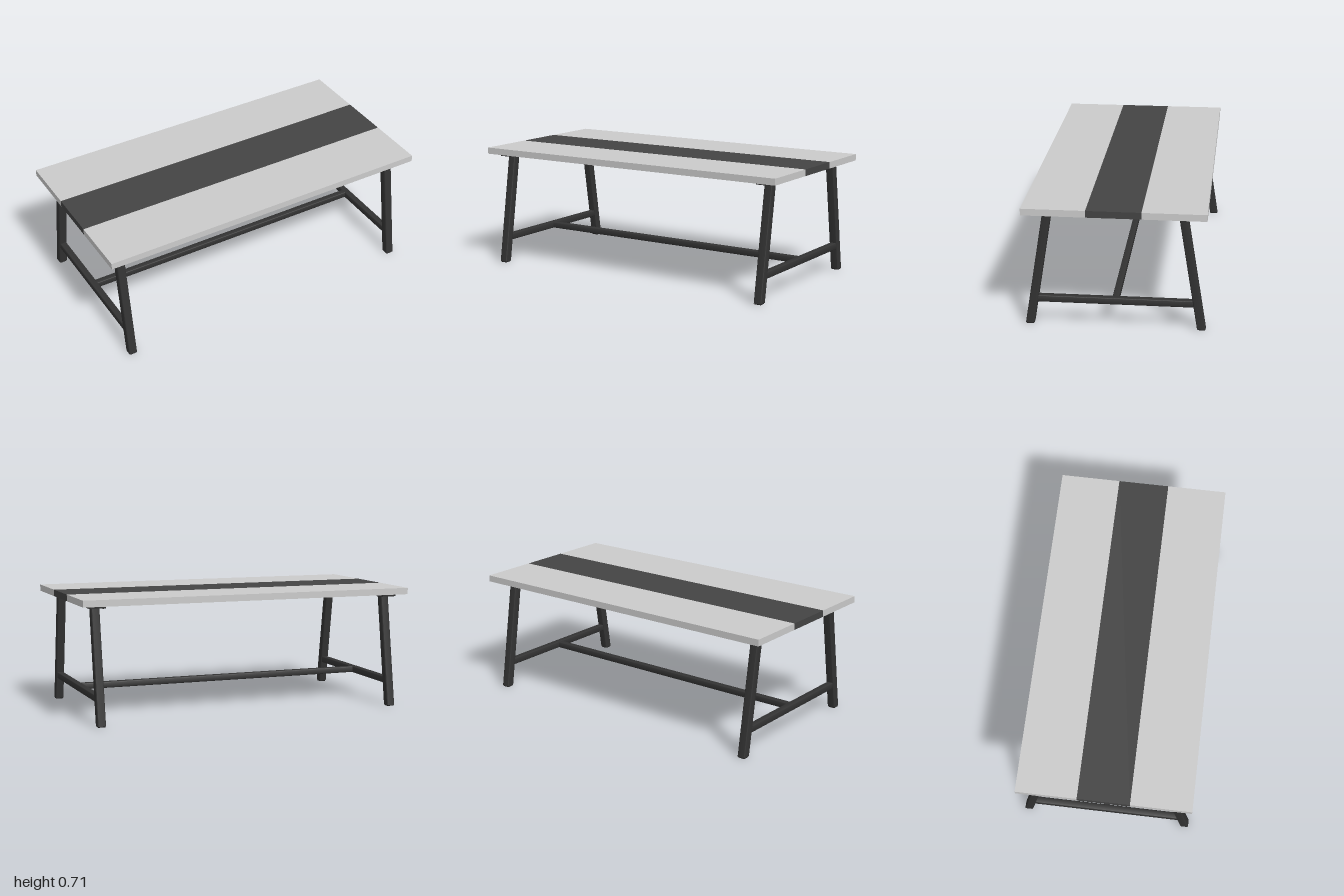
import * as THREE from 'three';
import { toCreasedNormals } from 'three/addons/utils/BufferGeometryUtils.js';

const grey = new THREE.MeshStandardMaterial({ color: 0xcccccc });
const inlay = new THREE.MeshStandardMaterial({ color: 0x444444 });
const steel = new THREE.MeshStandardMaterial({ color: 0x333333 });
const rubber = new THREE.MeshStandardMaterial({ color: 0x1c1c1c });

// Upright prism with a rounded rectangular footprint, standing on y = 0
function roundedPrism(w, d, h, r) {
  const x = w / 2, y = d / 2;
  const s = new THREE.Shape();
  s.moveTo(-x + r, -y);
  s.lineTo(x - r, -y);
  s.absarc(x - r, -y + r, r, -Math.PI / 2, 0);
  s.absarc(x - r, y - r, r, 0, Math.PI / 2);
  s.absarc(-x + r, y - r, r, Math.PI / 2, Math.PI);
  s.absarc(-x + r, -y + r, r, Math.PI, Math.PI * 1.5);
  const g = new THREE.ExtrudeGeometry(s, { depth: h, bevelEnabled: false, curveSegments: 4 });
  return g.rotateX(-Math.PI / 2);
}

// Slants a prism so z shifts steadily with height
function shear(g, slope) {
  const p = g.attributes.position;
  for (let i = 0; i < p.count; i++) p.setZ(i, p.getZ(i) + p.getY(i) * slope);
  return g;
}

function add(parent, name, geometry, material, x, y, z) {
  const m = new THREE.Mesh(geometry, material);
  m.name = name;
  m.position.set(x, y, z);
  parent.add(m);
  return m;
}

const smooth = (g) => toCreasedNormals(g, 0.6);

export function createModel() {
  const table = new THREE.Group();
  table.name = 'table';

  // Top: two boards with a dark strip between them
  const topH = 0.038, topY = 0.691;
  const board = new THREE.BoxGeometry(2, topH, 0.35);
  add(table, 'frontBoard', board, grey, 0, topY, 0.325);
  add(table, 'backBoard', board, grey, 0, topY, -0.325);
  add(table, 'centreStrip', new THREE.BoxGeometry(2, topH, 0.3), inlay, 0, topY, 0);

  // End frames
  const footH = 0.005, legTop = 0.657, legH = legTop - footH;
  const footZ = 0.476, slope = (0.371 - footZ) / legH;
  const plate = smooth(roundedPrism(0.1, 0.9, 0.015, 0.015));
  const crossbar = smooth(roundedPrism(0.038, 0.038, 0.868, 0.004).rotateX(Math.PI / 2));
  const foot = smooth(roundedPrism(0.042, 0.042, footH, 0.006));
  const screw = new THREE.CylinderGeometry(0.005, 0.004, 0.004, 12);

  for (const side of [1, -1]) {
    const frame = new THREE.Group();
    frame.name = side > 0 ? 'leftFrame' : 'rightFrame';
    frame.position.x = side * 0.901;
    table.add(frame);

    add(frame, 'mountingPlate', plate, steel, 0, legTop, 0);
    add(frame, 'crossbar', crossbar, steel, 0, 0.152, -0.434);

    for (const f of [1, -1]) {
      const end = f > 0 ? 'front' : 'back';
      const leg = smooth(shear(roundedPrism(0.048, 0.048, legH, 0.006), f * slope));
      add(frame, end + 'Leg', leg, steel, 0, footH, f * footZ);
      add(frame, end + 'Foot', foot, rubber, 0, 0, f * footZ);
      // Screw heads beneath the plate
      for (const z of [0.11, 0.19, 0.43])
        for (const x of [-0.035, 0.035])
          add(frame, 'screw', screw, steel, x, legTop - 0.002, f * z);
    }
  }

  // Long stretcher joining the two crossbars
  const stretcher = smooth(roundedPrism(0.036, 0.036, 1.766, 0.004).rotateZ(-Math.PI / 2));
  add(table, 'stretcher', stretcher, steel, -0.883, 0.152, 0);

  return table;
}
